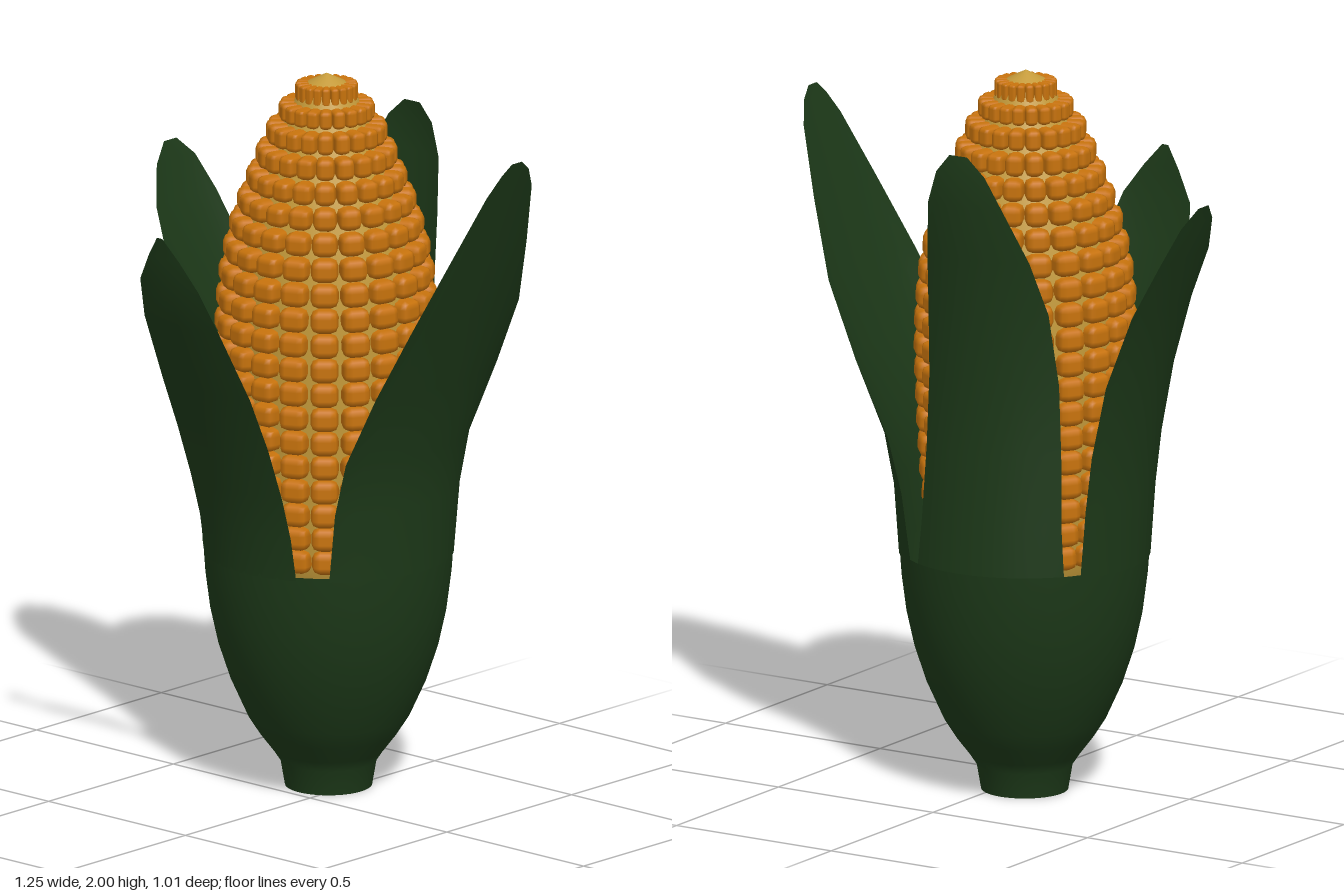
import * as THREE from 'three';
import { mergeGeometries } from 'three/addons/utils/BufferGeometryUtils.js';
import { RoundedBoxGeometry } from 'three/addons/geometries/RoundedBoxGeometry.js';

const HUSK = new THREE.MeshStandardMaterial({ color: 0x1c3818, side: THREE.DoubleSide });
const KERNEL = new THREE.MeshStandardMaterial({ color: 0xc8730c });
const CORE = new THREE.MeshStandardMaterial({ color: 0xc49a3a });

const toPoints = (list) => list.map(([r, y]) => new THREE.Vector2(r, y));

function addMesh(parent, name, geometry, material) {
  const mesh = new THREE.Mesh(geometry, material);
  mesh.name = name;
  parent.add(mesh);
}

// Outer radius of the cob, from bottom to top: [radius, y]
const COB = [
  [0.262, 0.69], [0.285, 0.85], [0.3, 1.1], [0.303, 1.3], [0.29, 1.46],
  [0.258, 1.6], [0.21, 1.73], [0.148, 1.87], [0.085, 1.95],
];

// Rings of rounded kernels following the cob profile
function kernelGeometry() {
  const columns = 20, rows = 19, depth = 0.075;
  const rings = new THREE.SplineCurve(toPoints(COB)).getSpacedPoints(rows);
  const parts = [];
  rings.forEach((p, i) => {
    const near = rings[i === rows ? i - 1 : i + 1];
    const height = Math.max(Math.abs(near.y - p.y) * 0.95, 0.04);
    const width = Math.min(0.076, (p.x * 2 * Math.PI / columns) * 0.84);
    const d = Math.min(depth, p.x * 0.6);
    const bevel = Math.min(width, height) * 0.34;
    const kernel = new RoundedBoxGeometry(width, height, d, 1, bevel);
    kernel.translate(0, p.y, p.x - d / 2);
    for (let c = 0; c < columns; c++) {
      parts.push(kernel.clone().rotateY((c / columns) * Math.PI * 2 + 0.09));
    }
  });
  return mergeGeometries(parts);
}

// Husk leaves: facing angle and rows of
// [y, distance out, side edge, other side edge, how round the cross-section is]
const LEAVES = {
  frontLeaf: [0, [
    [0.66, 0.337, -0.21, 0.155, 1], [0.78, 0.352, -0.207, 0.153, 0.9],
    [0.9, 0.382, -0.205, 0.152, 0.8], [1.05, 0.432, -0.2, 0.15, 0.7],
    [1.2, 0.49, -0.193, 0.143, 0.6], [1.4, 0.578, -0.165, 0.118, 0.5],
    [1.52, 0.618, -0.135, 0.085, 0.4], [1.6, 0.632, -0.085, 0.03, 0.4],
    [1.66, 0.645, -0.04, -0.02, 0.4]]],
  leftLeaf: [90, [
    [0.66, 0.34, -0.25, 0.29, 1], [0.85, 0.35, -0.25, 0.285, 0.9],
    [1.0, 0.37, -0.248, 0.283, 0.75], [1.2, 0.435, -0.235, 0.277, 0.5],
    [1.4, 0.51, -0.2, 0.243, 0.35], [1.6, 0.583, -0.14, 0.17, 0.3],
    [1.78, 0.648, -0.075, 0.11, 0.3], [1.84, 0.67, -0.04, 0.07, 0.3],
    [1.87, 0.68, -0.01, 0.03, 0.3]]],
  backLeaf: [180, [
    [0.66, 0.328, -0.155, 0.262, 1], [0.8, 0.322, -0.14, 0.255, 1],
    [1.0, 0.31, -0.13, 0.25, 1], [1.2, 0.308, -0.12, 0.245, 1],
    [1.4, 0.322, -0.112, 0.23, 1], [1.55, 0.34, -0.1, 0.2, 0.9],
    [1.7, 0.362, -0.08, 0.145, 0.9], [1.79, 0.362, -0.05, 0.1, 0.8],
    [1.84, 0.355, -0.01, 0.045, 0.8]]],
  rightLeaf: [270, [
    [0.66, 0.34, -0.172, 0.21, 1], [0.85, 0.35, -0.17, 0.205, 0.9],
    [1.0, 0.363, -0.168, 0.2, 0.8], [1.2, 0.398, -0.162, 0.19, 0.7],
    [1.4, 0.457, -0.14, 0.165, 0.6], [1.55, 0.52, -0.11, 0.135, 0.5],
    [1.65, 0.555, -0.07, 0.085, 0.4], [1.7, 0.575, -0.02, 0.03, 0.4]]],
};

// Bends a plane into a leaf, one plane row for each section
function leafGeometry(angle, rows) {
  const columns = 12, round = 0.34;
  const geometry = new THREE.PlaneGeometry(1, 1, columns, rows.length - 1);
  const position = geometry.attributes.position;
  for (let i = 0; i < position.count; i++) {
    const row = rows[rows.length - 1 - Math.floor(i / (columns + 1))];
    const [y, out, lo, hi, bend] = row;
    const side = THREE.MathUtils.lerp(lo, hi, (i % (columns + 1)) / columns);
    const sag = round - Math.sqrt(round * round - side * side);
    position.setXYZ(i, side, y, out - bend * sag);
  }
  geometry.rotateY(THREE.MathUtils.degToRad(angle));
  geometry.computeVertexNormals();
  return geometry;
}

export function createModel() {
  const model = new THREE.Group();
  model.name = 'cornCob';

  // Cob: pale core with kernels around it
  const cob = new THREE.Group();
  cob.name = 'cob';
  cob.position.set(-0.055, 0, -0.127);
  const core = COB.map(([r, y]) => [Math.max(r - 0.035, 0.075), y]);
  const coreProfile = [[0, 0.45], [0.2, 0.5], ...core, [0.065, 1.968], [0, 2]];
  addMesh(cob, 'core', new THREE.LatheGeometry(toPoints(coreProfile), 20), CORE);
  addMesh(cob, 'kernels', kernelGeometry(), KERNEL);
  model.add(cob);

  // Husk: closed cup at the bottom, splitting into four leaves
  const husk = new THREE.Group();
  husk.name = 'husk';
  husk.position.set(-0.06, 0, -0.14);
  const cup = [
    [0.118, 0], [0.13, 0.07], [0.15, 0.1], [0.188, 0.15], [0.22, 0.2], [0.265, 0.3],
    [0.298, 0.4], [0.32, 0.5], [0.333, 0.6], [0.338, 0.67],
  ];
  addMesh(husk, 'huskCup', new THREE.LatheGeometry(toPoints(cup), 40), HUSK);
  const base = new THREE.CircleGeometry(0.118, 40).rotateX(Math.PI / 2);
  addMesh(husk, 'huskBase', base, HUSK);
  for (const [name, [angle, rows]] of Object.entries(LEAVES)) {
    addMesh(husk, name, leafGeometry(angle, rows), HUSK);
  }
  model.add(husk);
  return model;
}
